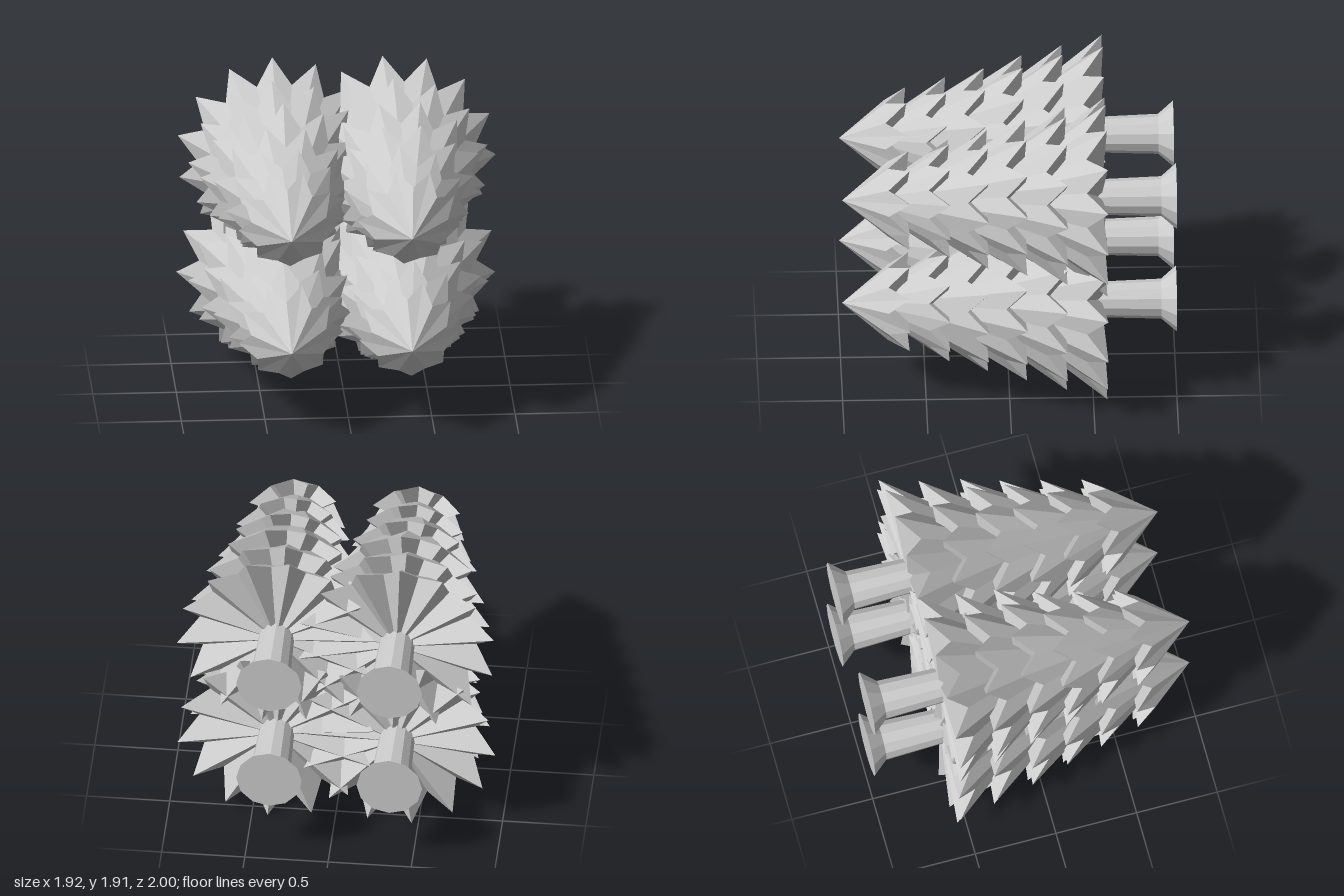
import * as THREE from 'three';

const grey = new THREE.MeshStandardMaterial({ color: 0xcccccc, flatShading: true });
grey.name = 'pale grey';

// Tiers from the tip backwards: apex z, rim z, tip radius, notch radius ratio
const TIERS = [
  [1.0, 0.6, 0.302, 0.76],
  [0.9, 0.36, 0.36, 0.77],
  [0.8, 0.13, 0.422, 0.78],
  [0.67, -0.1, 0.483, 0.79],
  [0.42, -0.34, 0.54, 0.79],
  [0.2, -0.58, 0.598, 0.79],
];

// Star-shaped cone: long tips sweep back, notches sit further in and forward
function tierGeometry(apexZ, rimZ, radius, notch, points, phase) {
  const n = points * 2;
  const rim = [];
  for (let i = 0; i < n; i++) {
    const a = phase + (i / n) * Math.PI * 2;
    const tip = i % 2 === 0;
    const r = tip ? radius : radius * notch;
    rim.push([Math.cos(a) * r, Math.sin(a) * r, tip ? rimZ : rimZ + 0.125]);
  }
  const pos = [];
  for (let i = 0; i < n; i++) {
    const p = rim[i], q = rim[(i + 1) % n];
    pos.push(0, 0, apexZ, ...p, ...q);          // upper side
    pos.push(0, 0, rimZ + 0.03, ...q, ...p);    // pleated underside
  }
  const g = new THREE.BufferGeometry();
  g.setAttribute('position', new THREE.Float32BufferAttribute(pos, 3));
  g.computeVertexNormals();
  return g;
}

function add(group, geometry, name) {
  const m = new THREE.Mesh(geometry, grey);
  m.name = name;
  group.add(m);
}

// One conifer lying along z, tip towards the front
function createTree(x, y, phaseDeg, seed) {
  const tree = new THREE.Group();
  tree.name = 'tree';
  TIERS.forEach(([apexZ, rimZ, radius, notch], i) => {
    const phase = THREE.MathUtils.degToRad(phaseDeg) + (5 - i) * (0.9 + seed * 0.37);
    add(tree, tierGeometry(apexZ, rimZ, radius, notch, 9 + i, phase), 'branchTier' + (i + 1));
  });
  // Trunk with a flared foot
  const trunk = new THREE.CylinderGeometry(0.105, 0.12, 0.41, 12, 1, true);
  trunk.rotateX(Math.PI / 2).translate(0, 0, -0.705);
  add(tree, trunk, 'trunk');
  const foot = new THREE.CylinderGeometry(0.12, 0.197, 0.09, 12);
  foot.rotateX(Math.PI / 2).translate(0, 0, -0.955);
  add(tree, foot, 'trunkFoot');
  tree.position.set(x, y, 0);
  return tree;
}

export function createModel() {
  const model = new THREE.Group();
  model.name = 'treeStack';
  model.add(
    createTree(-0.368, 1.302, 14.9, 0),
    createTree(0.355, 1.302, 20.9, 1),
    createTree(-0.368, 0.587, 4, 2),
    createTree(0.355, 0.587, 17.6, 3),
  );
  return model;
}
